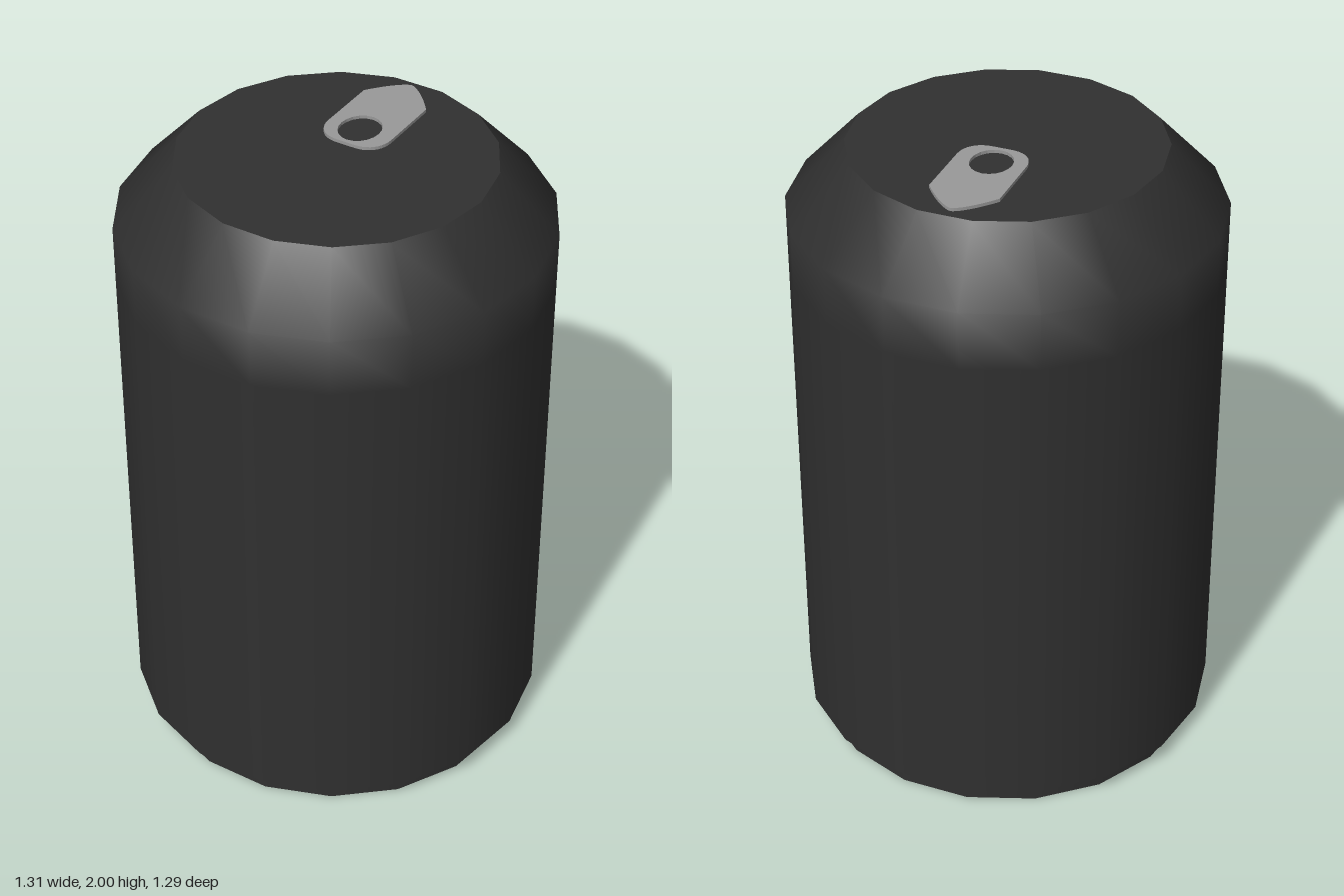
import * as THREE from 'three';

const SIDES = 18;
const darkMetal = new THREE.MeshStandardMaterial({ color: 0x303030 });
const tabMetal = new THREE.MeshStandardMaterial({ color: 0x999999 });

// One smooth turned band; separate bands keep the edges between them sharp
function band(name, profile) {
  const points = profile.map(([r, y]) => new THREE.Vector2(r, y));
  const mesh = new THREE.Mesh(new THREE.LatheGeometry(points, SIDES, Math.PI / 2), darkMetal);
  mesh.name = name;
  return mesh;
}

// Pull tab: pointed at the back, rounded at the front, with a finger hole
function pullTab() {
  const w = 0.107;
  const shape = new THREE.Shape();
  shape.moveTo(-w, 0.14);
  shape.bezierCurveTo(-w, 0.09, -0.075, 0.06, -0.03, 0.06);
  shape.lineTo(0.03, 0.06);
  shape.bezierCurveTo(0.075, 0.06, w, 0.09, w, 0.14);
  shape.lineTo(w, 0.34);
  shape.bezierCurveTo(0.07, 0.39, 0.025, 0.435, 0, 0.44);
  shape.bezierCurveTo(-0.025, 0.435, -0.07, 0.39, -w, 0.34);
  shape.closePath();

  const hole = new THREE.Path();
  hole.absellipse(-0.004, 0.148, 0.063, 0.074, 0, Math.PI * 2, true);
  shape.holes.push(hole);

  const geometry = new THREE.ExtrudeGeometry(shape, { depth: 0.012, bevelEnabled: false, curveSegments: 10 });
  geometry.rotateX(-Math.PI / 2);
  const mesh = new THREE.Mesh(geometry, tabMetal);
  mesh.name = 'pullTab';
  mesh.position.set(-0.007, 1.988, 0);
  return mesh;
}

export function createModel() {
  const can = new THREE.Group();
  can.name = 'drinkCan';
  can.add(
    band('bottom', [[0, 0], [0.615, 0]]),
    band('foot', [[0.615, 0], [0.615, 0.035]]),
    band('lowerChamfer', [[0.615, 0.035], [0.655, 0.065]]),
    band('bodyAndShoulder', [[0.655, 0.065], [0.655, 1.62], [0.655, 1.8], [0.475, 1.99]]),
    band('lid', [[0.475, 1.99], [0, 1.99]]),
    pullTab()
  );
  return can;
}
